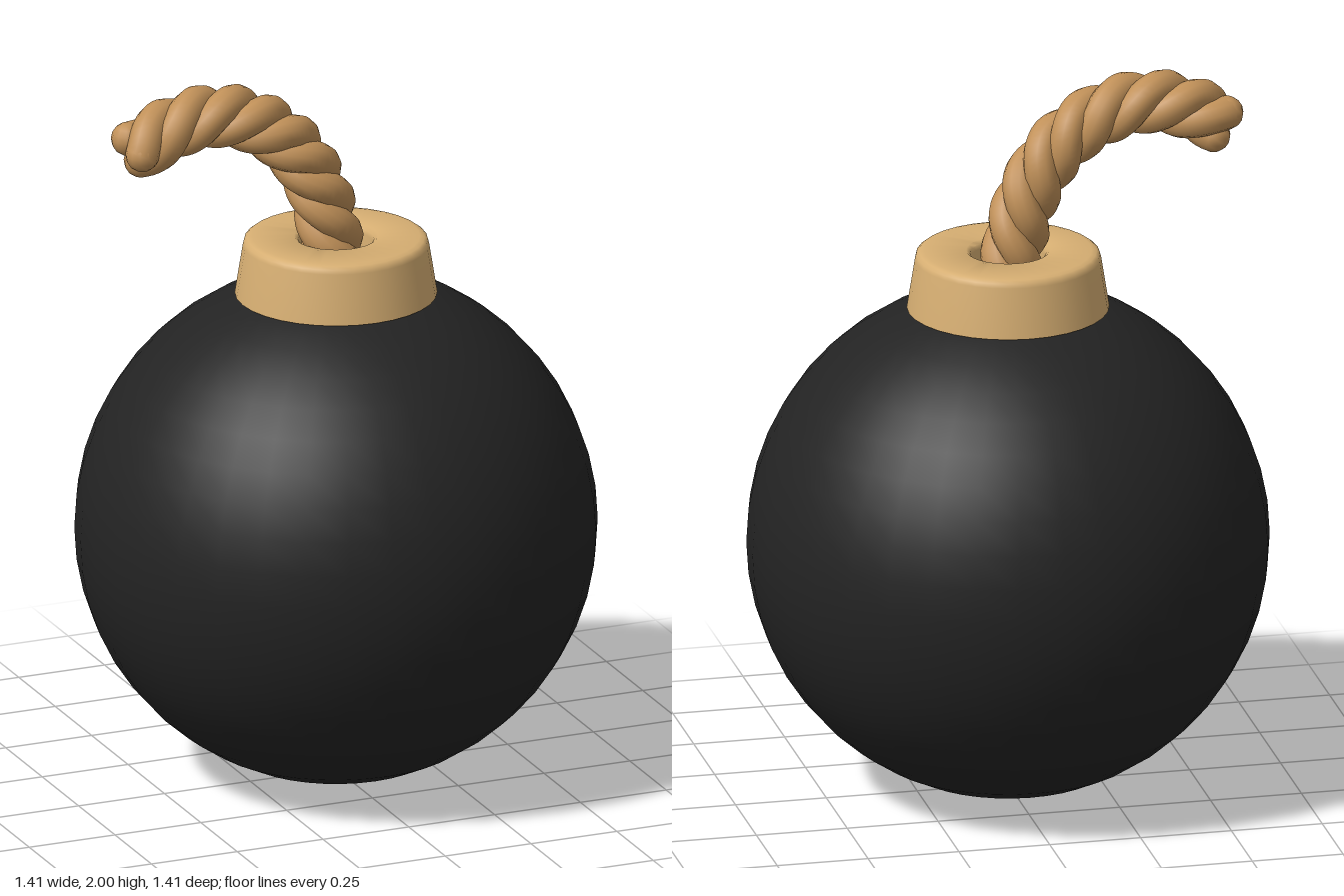
import * as THREE from 'three';
import { toCreasedNormals } from 'three/addons/utils/BufferGeometryUtils.js';

// Centre line of the rope, bending over towards -x
const ropePath = new THREE.CatmullRomCurve3([
  [0, 1.40], [-0.015, 1.52], [-0.05, 1.66], [-0.125, 1.79],
  [-0.24, 1.88], [-0.37, 1.913], [-0.49, 1.89], [-0.58, 1.842],
].map(([x, y]) => new THREE.Vector3(x, y, 0)));

const STRANDS = 3, TURNS = 2.9, OFFSET = 0.042, STRAND_RADIUS = 0.046;

// One strand winding around the centre line
class StrandCurve extends THREE.Curve {
  constructor(phase) {
    super();
    this.phase = phase;
  }
  getPoint(t, target = new THREE.Vector3()) {
    const p = ropePath.getPointAt(t);
    const d = ropePath.getTangentAt(t);
    const a = this.phase + t * TURNS * Math.PI * 2;
    const side = Math.cos(a) * OFFSET;
    return target.set(p.x + d.y * side, p.y - d.x * side, Math.sin(a) * OFFSET);
  }
}

export function createModel() {
  const black = new THREE.MeshStandardMaterial({ color: 0x232323 });
  black.name = 'black';
  const tan = new THREE.MeshStandardMaterial({ color: 0xd6ae72 });
  tan.name = 'tan';
  const ropeBrown = new THREE.MeshStandardMaterial({ color: 0xc19159 });
  ropeBrown.name = 'ropeBrown';

  const model = new THREE.Group();
  model.name = 'roundBomb';
  const add = (parent, name, geometry, material) => {
    const mesh = new THREE.Mesh(geometry, material);
    mesh.name = name;
    parent.add(mesh);
    return mesh;
  };

  // Round body
  add(model, 'body', new THREE.SphereGeometry(0.703, 36, 24), black).position.y = 0.703;

  // Tapered collar with a rounded rim and a hole for the rope
  const profile = [
    [0.1, 1.36], [0.272, 1.36], [0.25, 1.498], [0.247, 1.51], [0.238, 1.517],
    [0.225, 1.52], [0.112, 1.52], [0.102, 1.512], [0.1, 1.5], [0.1, 1.36],
  ].map(([r, y]) => new THREE.Vector2(r, y));
  add(model, 'collar', toCreasedNormals(new THREE.LatheGeometry(profile, 32), 0.75), tan);

  // Twisted rope with rounded strand ends
  const rope = new THREE.Group();
  rope.name = 'rope';
  model.add(rope);
  for (let i = 0; i < STRANDS; i++) {
    const curve = new StrandCurve((i / STRANDS) * Math.PI * 2);
    add(rope, 'strand', new THREE.TubeGeometry(curve, 90, STRAND_RADIUS, 12), ropeBrown);
    const tip = add(rope, 'strandTip', new THREE.SphereGeometry(STRAND_RADIUS, 12, 8), ropeBrown);
    tip.position.copy(curve.getPoint(1));
  }
  return model;
}
